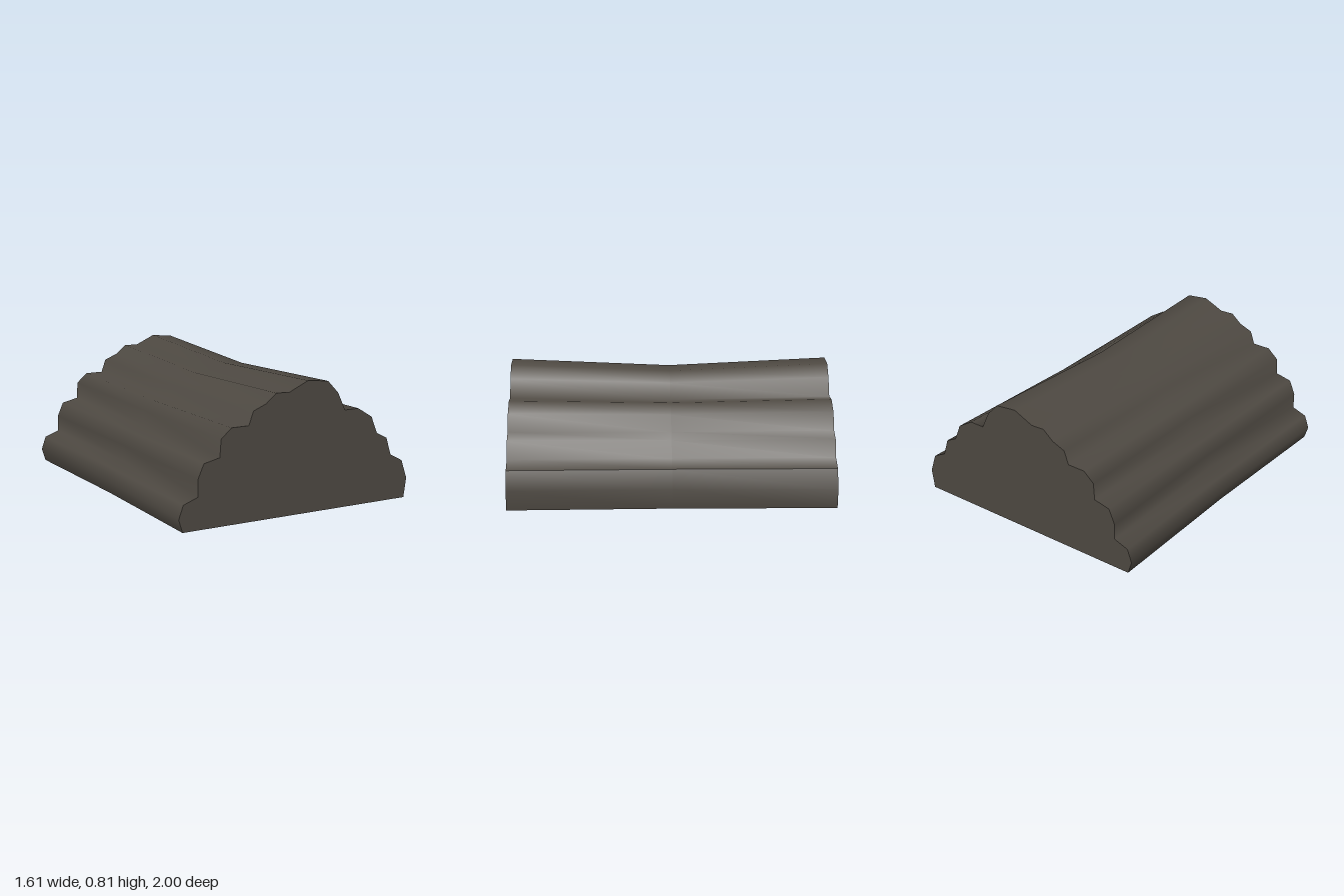
import * as THREE from 'three';

// Scalloped cross-section, from the -x foot over the crest to the +x foot
const PROFILE = [
  [-0.78, 0], [-0.805, 0.08], [-0.775, 0.163], [-0.68, 0.197], [-0.68, 0.3], [-0.64, 0.39],
  [-0.535, 0.413], [-0.527, 0.52], [-0.458, 0.58], [-0.342, 0.58], [-0.312, 0.663],
  [-0.226, 0.697], [-0.157, 0.754], [-0.067, 0.75], [0.063, 0.808], [0.204, 0.792],
  [0.278, 0.714], [0.33, 0.603], [0.428, 0.603], [0.527, 0.541], [0.57, 0.434],
  [0.643, 0.396], [0.677, 0.287], [0.763, 0.24], [0.803, 0.123], [0.785, 0],
];
const CREASE = 23; // profile point where the shading breaks
const SECTIONS = [-1, 0, 1];

// The middle section is slightly narrower and lower than the ends
function place([x, y], z) {
  const waist = 1 - Math.abs(z);
  return [x * (1 - 0.02 * waist), y * (1 - 0.055 * waist * (y / 0.8) ** 2), z];
}

// Smooth skin through the three cross-sections
function skin(points) {
  const positions = [];
  const index = [];
  const n = points.length;
  SECTIONS.forEach((z) => points.forEach((p) => positions.push(...place(p, z))));
  for (let j = 0; j < SECTIONS.length - 1; j++) {
    for (let i = 0; i < n - 1; i++) {
      const a = j * n + i;
      const b = a + n;
      index.push(a, b, a + 1, b, b + 1, a + 1);
    }
  }
  const geometry = new THREE.BufferGeometry();
  geometry.setAttribute('position', new THREE.Float32BufferAttribute(positions, 3));
  geometry.setIndex(index);
  geometry.computeVertexNormals();
  return geometry;
}

// Flat end wall facing +z (side 1) or -z (side -1)
function endWall(side) {
  const shape = new THREE.Shape(PROFILE.map(([x, y]) => new THREE.Vector2(x * side, y)));
  const geometry = new THREE.ShapeGeometry(shape);
  if (side < 0) geometry.rotateY(Math.PI);
  return geometry.translate(0, 0, side);
}

export function createModel() {
  const group = new THREE.Group();
  group.name = 'scallopedMound';
  // Open underneath, so the inside shows too
  const stone = new THREE.MeshStandardMaterial({ color: 0x4e4942, side: THREE.DoubleSide });
  stone.name = 'dark stone';

  const add = (name, geometry) => {
    const mesh = new THREE.Mesh(geometry, stone);
    mesh.name = name;
    group.add(mesh);
  };
  add('moundSkin', skin(PROFILE.slice(0, CREASE + 1)));
  add('leftFoot', skin(PROFILE.slice(CREASE)));
  add('frontWall', endWall(1));
  add('backWall', endWall(-1));
  return group;
}
